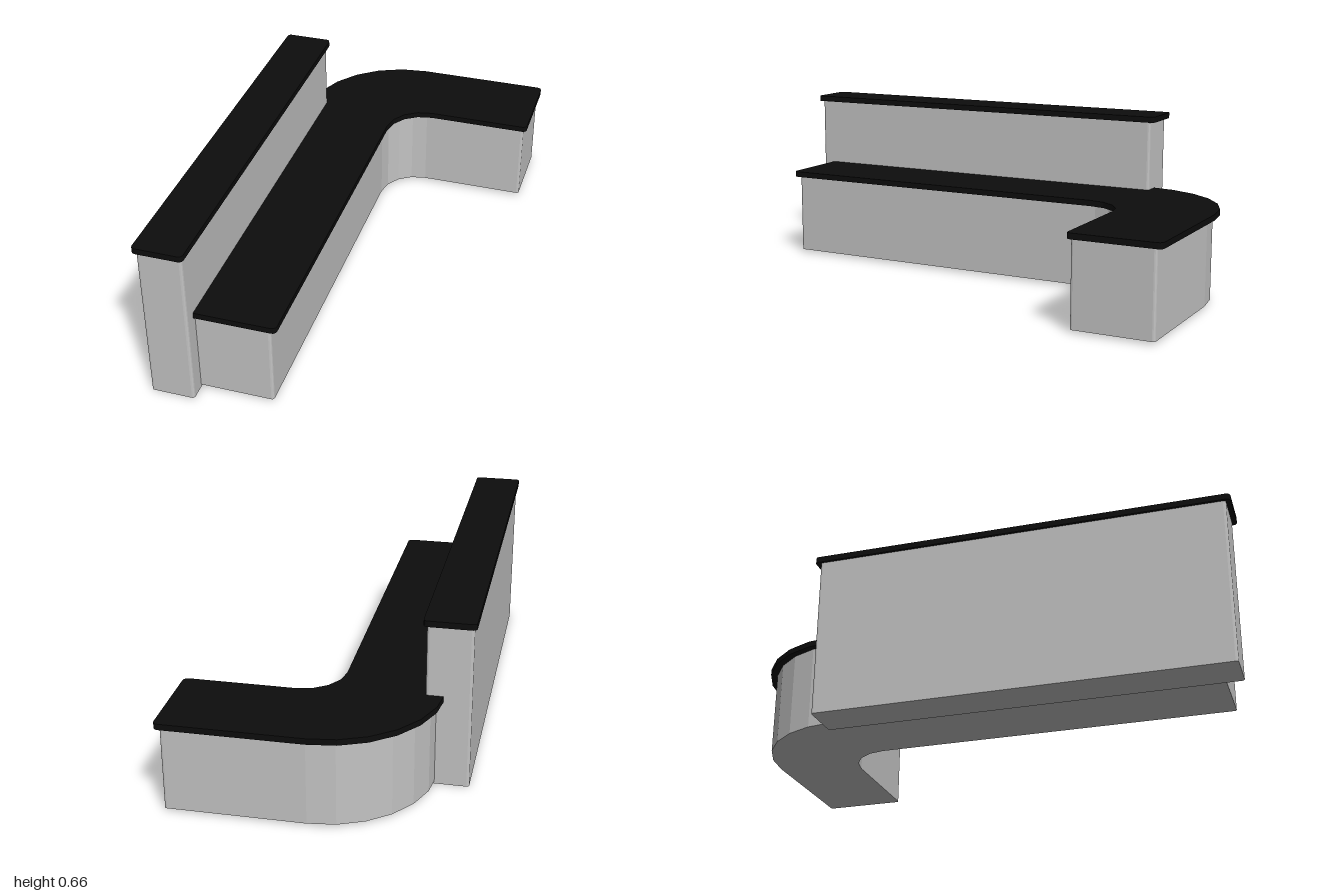
import * as THREE from 'three';

const grey = new THREE.MeshStandardMaterial({ color: 0xc4c4c4 });
grey.name = 'panelGrey';
const black = new THREE.MeshStandardMaterial({ color: 0x0d0d0d });
black.name = 'counterBlack';

// Plan outline from axis-aligned corners [x, z, radius, steps], each rounded with straight facets
function outline(corners) {
  const pts = [];
  const n = corners.length;
  corners.forEach(([x, z, r, steps], i) => {
    const p = new THREE.Vector2(x, -z);
    const toward = ([a, b]) => new THREE.Vector2(a, -b).sub(p).normalize();
    const u = toward(corners[(i + n - 1) % n]);
    const v = toward(corners[(i + 1) % n]);
    const centre = p.clone().addScaledVector(u, r).addScaledVector(v, r);
    for (let k = 0; k <= steps; k++) {
      const a = (k / steps) * Math.PI / 2;
      pts.push(centre.clone().addScaledVector(v, -r * Math.cos(a)).addScaledVector(u, -r * Math.sin(a)));
    }
  });
  return new THREE.Shape(pts);
}

// Upright prism from a plan outline
function slab(name, corners, y0, y1, material) {
  const geo = new THREE.ExtrudeGeometry(outline(corners), { depth: y1 - y0, bevelEnabled: false });
  geo.rotateX(-Math.PI / 2).translate(0, y0, 0);
  const mesh = new THREE.Mesh(geo, material);
  mesh.name = name;
  return mesh;
}

const rect = (x0, x1, z0, z1, r) =>
  [[x0, z1, r, 3], [x1, z1, r, 3], [x1, z0, r, 3], [x0, z0, r, 3]];

// L-shaped plan: long run toward the front, short arm toward +x at the back
const bend = (left, inner, right, front, armFront, back, r, rIn, rOut) => [
  [left, front, r, 3], [inner, front, r, 3],
  [inner, armFront, rIn, 4],
  [right, armFront, r, 3], [right, back, r, 3],
  [left, back, rOut, 6],
];

export function createModel() {
  const model = new THREE.Group();
  model.name = 'receptionCounter';

  // Tall straight partition with its ledge
  model.add(slab('tallPartition', rect(-0.525, -0.356, -0.605, 0.982, 0.01), 0, 0.64, grey));
  model.add(slab('tallLedge', rect(-0.535, -0.345, -0.625, 1.0, 0.015), 0.64, 0.663, black));

  // Low curved desk with its worktop
  model.add(slab('deskBody', bend(-0.4, -0.07, 0.52, 0.915, -0.655, -0.975, 0.01, 0.16, 0.4), 0.01, 0.34, grey));
  model.add(slab('deskTop', bend(-0.425, -0.045, 0.535, 0.93, -0.643, -1.0, 0.018, 0.16, 0.42), 0.34, 0.363, black));

  return model;
}
